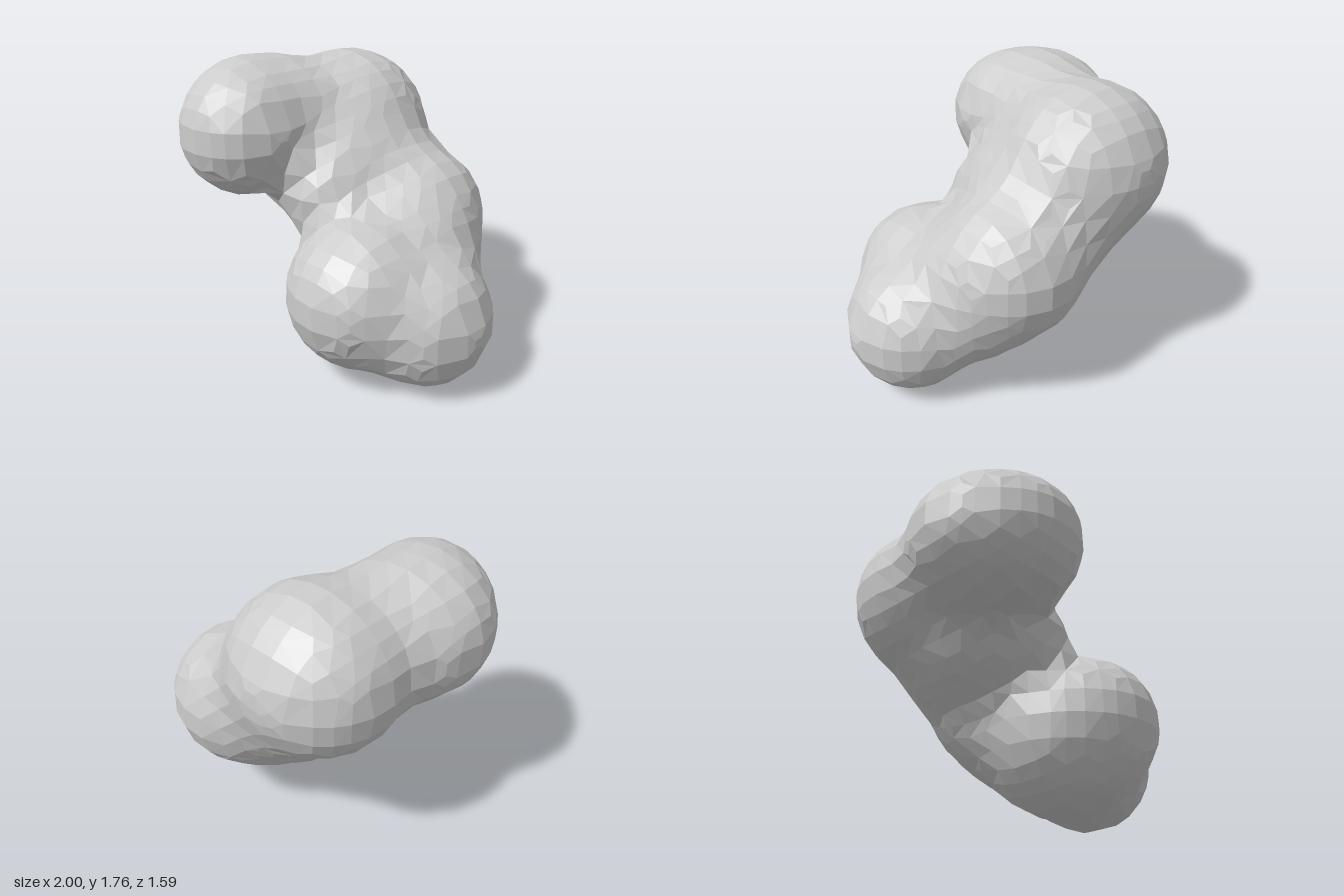
import * as THREE from 'three';

// Overlapping lobes: x, y, z, radius
const LOBES = [
  [-0.605, 1.36, 0.24, 0.395], // upper front, outer side
  [-0.49, 1.35, 0.40, 0.39], // upper front, tip
  [-0.48, 1.33, 0.04, 0.40], // upper waist
  [-0.43, 1.28, -0.34, 0.45], // upper back
  [-0.32, 1.27, -0.34, 0.44], // upper back, inner side
  [-0.21, 1.03, -0.10, 0.43], // centre
  [-0.13, 1.00, -0.31, 0.42], // back, between upper and middle
  [0.18, 0.80, -0.35, 0.43], // middle back
  [0.13, 0.67, -0.15, 0.43], // middle
  [0.33, 0.60, -0.18, 0.41], // between middle and lower side
  [-0.07, 0.98, 0.15, 0.23], // web in the front notch
  [0.33, 0.53, 0.25, 0.425], // lower front
  [0.23, 0.445, 0.11, 0.445], // base
  [0.61, 0.395, 0.02, 0.395], // lower side
];
const BLEND = 0.11;
const STEP = 0.137;

// Signed distance to the softly joined lobes
function field(p) {
  let d = 10;
  for (const [x, y, z, r] of LOBES) {
    const e = Math.hypot(p.x - x, p.y - y, p.z - z) - r;
    const h = Math.max(BLEND - Math.abs(d - e), 0) / BLEND;
    d = Math.min(d, e) - h * h * BLEND * 0.25;
  }
  return d;
}

// Nudge a point along the gradient towards the surface
function project(p) {
  const e = 0.02, g = new THREE.Vector3(), q = new THREE.Vector3();
  const f = field(p);
  for (const a of ['x', 'y', 'z']) {
    q.copy(p); q[a] += e;
    g[a] = field(q);
    q[a] -= 2 * e;
    g[a] = (g[a] - field(q)) / (2 * e);
  }
  return p.addScaledVector(g.normalize(), THREE.MathUtils.clamp(-f, -0.03, 0.03));
}

// Coarse surface net: one vertex per crossed cell, one quad per crossed edge
function buildSurface() {
  const N = 18, origin = new THREE.Vector3(-1.2, -0.285, -1.2);
  const at = (c) => new THREE.Vector3(...c).multiplyScalar(STEP).add(origin);
  const key = (c) => (c[0] * N + c[1]) * N + c[2];
  const values = [], cells = [], positions = [], index = [];
  const grid = (n, fn) => {
    for (let i = 0; i < n; i++) for (let j = 0; j < n; j++) for (let k = 0; k < n; k++) fn([i, j, k]);
  };
  const moved = (c, axis) => c.map((v, i) => v + (i === axis ? 1 : 0));
  grid(N, (c) => { values[key(c)] = field(at(c)); });

  // Cell vertices
  grid(N - 1, (c) => {
    const sum = new THREE.Vector3();
    let count = 0;
    for (let corner = 0; corner < 8; corner++) {
      const a = c.map((v, i) => v + ((corner >> i) & 1));
      for (let axis = 0; axis < 3; axis++) {
        if ((corner >> axis) & 1) continue;
        const b = moved(a, axis), va = values[key(a)], vb = values[key(b)];
        if ((va < 0) === (vb < 0)) continue;
        sum.add(at(a).lerp(at(b), va / (va - vb)));
        count++;
      }
    }
    if (!count) return;
    const p = project(sum.divideScalar(count));
    cells[key(c)] = positions.length / 3;
    positions.push(p.x, p.y, p.z);
  });

  // Quads around the crossed edges, wound outwards
  grid(N - 1, (c) => {
    for (let axis = 0; axis < 3; axis++) {
      const inside = values[key(c)] < 0;
      if (inside === (values[key(moved(c, axis))] < 0)) continue;
      const u = (axis + 1) % 3, v = (axis + 2) % 3;
      const back = (du, dv) => cells[key(c.map((n, i) => n - (i === u ? du : 0) - (i === v ? dv : 0)))];
      const q = [back(1, 1), back(0, 1), back(0, 0), back(1, 0)];
      if (!inside) q.reverse();
      index.push(q[0], q[1], q[2], q[0], q[2], q[3]);
    }
  });

  const geometry = new THREE.BufferGeometry();
  geometry.setAttribute('position', new THREE.Float32BufferAttribute(positions, 3));
  geometry.setIndex(index);
  geometry.computeVertexNormals();
  return geometry;
}

export function createModel() {
  const group = new THREE.Group();
  group.name = 'lobedBlob';
  const material = new THREE.MeshStandardMaterial({ color: 0xcccccc, flatShading: true });
  const body = new THREE.Mesh(buildSurface(), material);
  body.name = 'body';
  group.add(body);
  return group;
}
